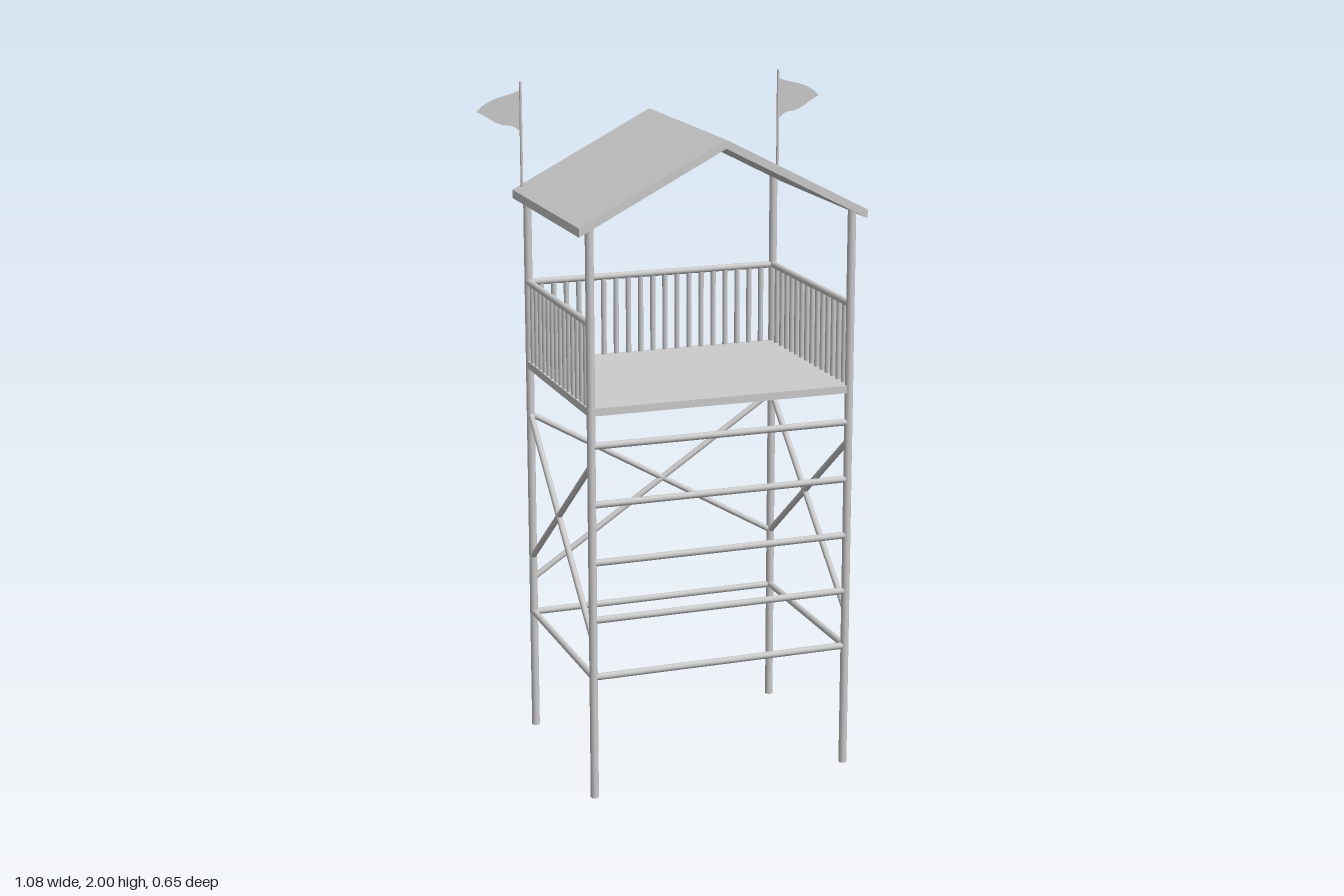
import * as THREE from 'three';

const material = new THREE.MeshStandardMaterial({ color: 0xcccccc, side: THREE.DoubleSide });
const X = 0.39, Z = 0.3; // post centres
const FLOOR = 1.155, RAIL = 1.4, LOW = 0.37;

export function createModel() {
  const model = new THREE.Group();
  model.name = 'watchtower';

  const add = (name, geometry, parent = model) => {
    const mesh = new THREE.Mesh(geometry, material);
    mesh.name = name;
    parent.add(mesh);
    return mesh;
  };

  // Round pole between two points
  const pole = (name, a, b, radius, parent = model) => {
    const from = new THREE.Vector3(...a), to = new THREE.Vector3(...b);
    const dir = to.clone().sub(from);
    const mesh = add(name, new THREE.CylinderGeometry(radius, radius, dir.length(), 10), parent);
    mesh.position.copy(from).add(to).multiplyScalar(0.5);
    mesh.quaternion.setFromUnitVectors(new THREE.Vector3(0, 1, 0), dir.normalize());
    return mesh;
  };

  // Corner posts
  for (const x of [-X, X]) for (const z of [-Z, Z]) pole('post', [x, 0, z], [x, 1.685, z], 0.012);

  // Platform
  add('platform', new THREE.BoxGeometry(0.8, 0.022, 0.615)).position.y = FLOOR;

  // Ladder rungs across the open front
  for (let i = 0; i < 5; i++) {
    const y = LOW + i * 0.1715;
    pole('ladderRung', [-X, y, Z], [X, y, Z], 0.01);
  }

  // Walls: lower beam, crossed braces, handrail and balusters.
  // at(t, y) runs along the wall, t from -1 to 1.
  const wall = (name, at, balusters) => {
    const group = new THREE.Group();
    group.name = name;
    model.add(group);
    pole('lowerBeam', at(-1, LOW), at(1, LOW), 0.01, group);
    pole('brace', at(-1, 1.0), at(1, 0.55), 0.009, group);
    pole('brace', at(-1, 0.48), at(1, 1.0), 0.009, group);
    pole('handrail', at(-1, RAIL + 0.005), at(1, RAIL + 0.005), 0.01, group);
    for (let i = 1; i <= balusters; i++) {
      const t = -1 + (2 * i) / (balusters + 1);
      pole('baluster', at(t, FLOOR), at(t, RAIL), 0.008, group);
    }
  };
  wall('backWall', (t, y) => [t * X, y, -Z], 19);
  wall('leftWall', (t, y) => [X, y, t * Z], 14);
  wall('rightWall', (t, y) => [-X, y, t * Z], 14);
  // Side braces run the other way: the higher foot is at the front
  for (const name of ['leftWall', 'rightWall']) {
    model.getObjectByName(name).children
      .filter((part) => part.name === 'brace')
      .forEach((part) => {
        part.scale.z = 1;
        part.quaternion.x *= -1;
      });
  }

  // Gabled roof
  const gable = new THREE.Shape([
    [-0.427, 1.655], [0, 1.875], [0.427, 1.655], [0.427, 1.68], [0, 1.9], [-0.427, 1.68],
  ].map(([x, y]) => new THREE.Vector2(x, y)));
  const roof = new THREE.ExtrudeGeometry(gable, { depth: 0.652, bevelEnabled: false });
  add('roof', roof.translate(0, 0, -0.326));

  // Flags on the two back corners, flying outwards
  for (const side of [-1, 1]) {
    const x = side * 0.404, z = -0.304;
    pole('flagPole', [x, 1.67, z], [x, 2, z], 0.004);
    const cloth = new THREE.Shape();
    cloth.moveTo(0, 1.976);
    cloth.bezierCurveTo(side * 0.04, 1.955, side * 0.09, 1.965, side * 0.134, 1.917);
    cloth.bezierCurveTo(side * 0.1, 1.905, side * 0.08, 1.875, side * 0.04, 1.873);
    cloth.quadraticCurveTo(side * 0.015, 1.872, 0, 1.848);
    add('flag', new THREE.ShapeGeometry(cloth, 8)).position.set(x, 0, z);
  }

  return model;
}
